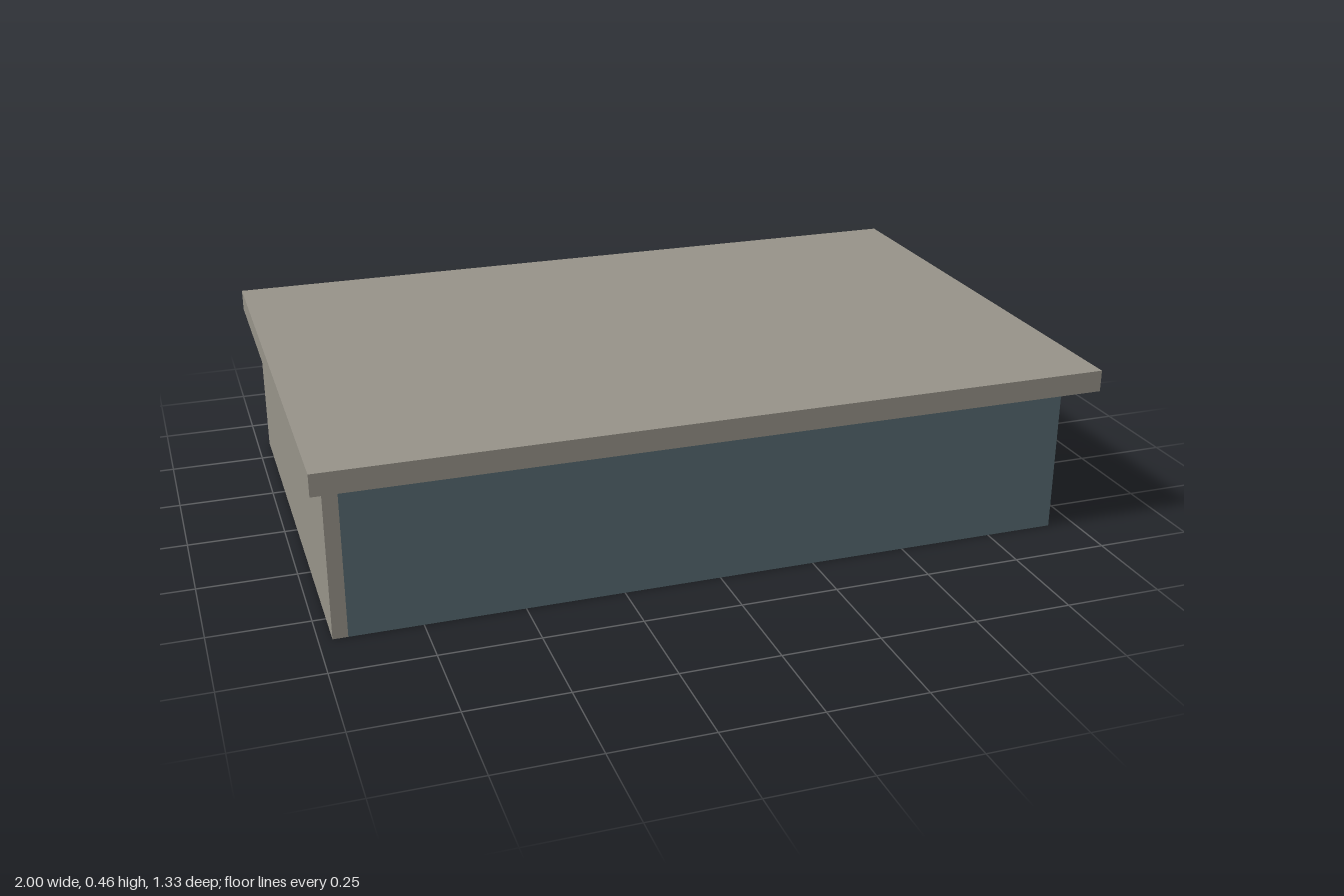
import * as THREE from 'three';

const stone = new THREE.MeshStandardMaterial({ color: 0x98948a, side: THREE.DoubleSide });
stone.name = 'warm grey';
const slate = new THREE.MeshStandardMaterial({ color: 0x566a71, side: THREE.DoubleSide });
slate.name = 'slate blue';

// Thin sheet facing x, y or z, centred on the given position
function sheet(name, material, axis, width, height, position) {
  const geometry = new THREE.PlaneGeometry(width, height);
  if (axis === 'x') geometry.rotateY(Math.PI / 2);
  if (axis === 'y') geometry.rotateX(-Math.PI / 2);
  const mesh = new THREE.Mesh(geometry, material);
  mesh.name = name;
  mesh.position.set(...position);
  return mesh;
}

// Rectangular ring of four upright sheets, open above and below
function ring(name, material, x0, x1, halfDepth, y0, y1) {
  const group = new THREE.Group();
  group.name = name;
  const h = y1 - y0, y = (y0 + y1) / 2, x = (x0 + x1) / 2;
  for (const z of [-halfDepth, halfDepth]) {
    group.add(sheet(z > 0 ? 'frontWall' : 'backWall', material, 'z', x1 - x0, h, [x, y, z]));
  }
  for (const [side, wx] of [['rightWall', x0], ['leftWall', x1]]) {
    group.add(sheet(side, material, 'x', 2 * halfDepth, h, [wx, y, 0]));
  }
  return group;
}

export function createModel() {
  const model = new THREE.Group();
  model.name = 'liddedBox';
  const wallTop = 0.4, lidTop = 0.456, depth = 0.602, panelX = -0.93;

  // Hollow lid: rim and top sheet, open below
  const lid = ring('lid', stone, -1, 1, 0.667, wallTop, lidTop);
  lid.add(sheet('lidTop', stone, 'y', 2, 1.334, [0, lidTop, 0]));
  model.add(lid);

  // Open body: front, back and left walls, with the right wall inside the end panel
  const body = new THREE.Group();
  body.name = 'body';
  for (const z of [-depth, depth]) {
    body.add(sheet(z > 0 ? 'bodyFront' : 'bodyBack', slate, 'z', 0.93 - panelX, wallTop, [0, wallTop / 2, z]));
  }
  for (const [name, x] of [['bodyLeft', 0.93], ['bodyRight', -0.95]]) {
    body.add(sheet(name, slate, 'x', 2 * depth, wallTop, [x, wallTop / 2, 0]));
  }
  model.add(body);

  // Hollow end panel folded around the right wall
  model.add(ring('endPanel', stone, -0.967, panelX, depth, 0, wallTop));
  return model;
}
